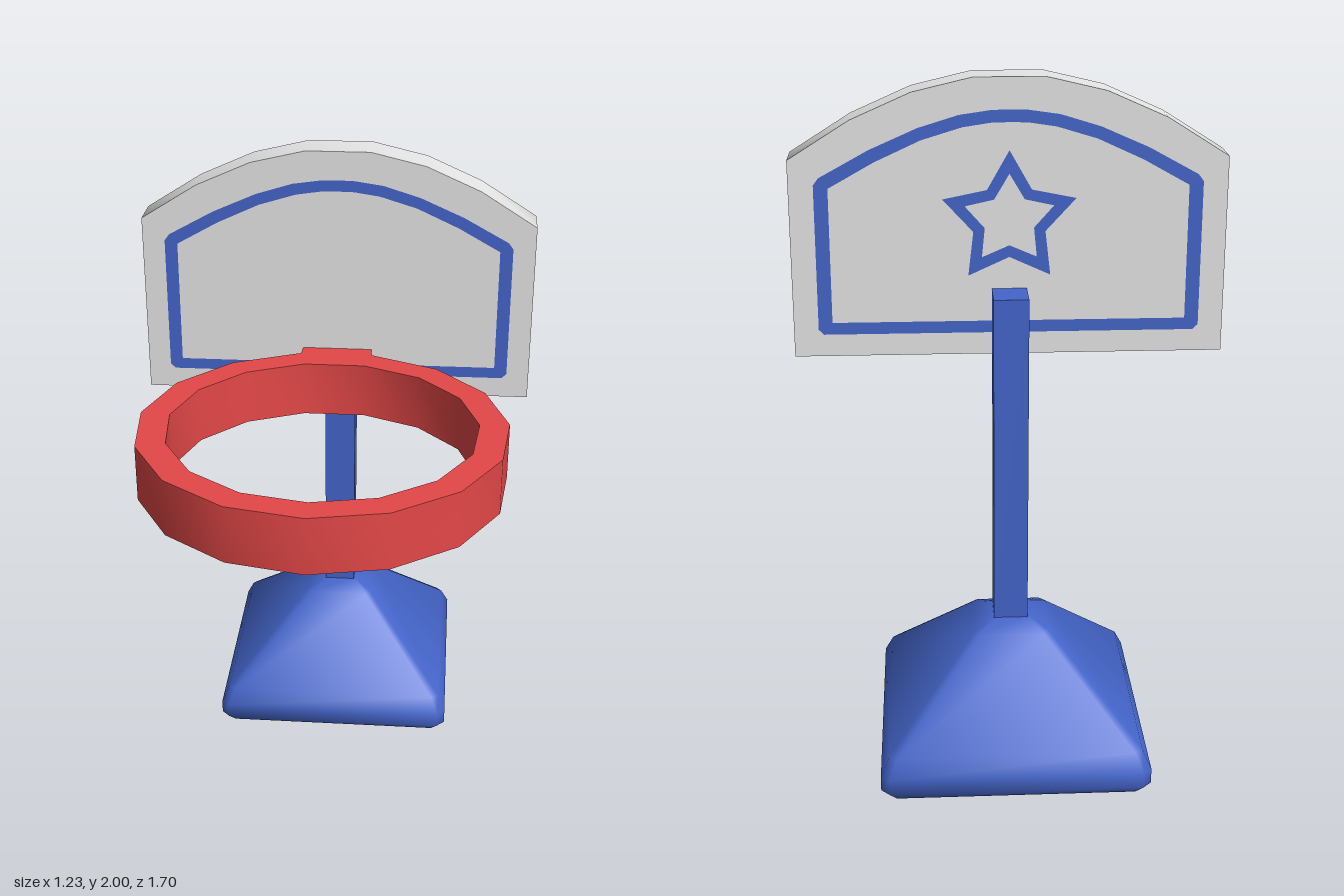
import * as THREE from 'three';
import { toCreasedNormals } from 'three/addons/utils/BufferGeometryUtils.js';

const blue = new THREE.MeshStandardMaterial({ color: 0x4465ca });
blue.name = 'blue plastic';
const red = new THREE.MeshStandardMaterial({ color: 0xe54848 });
red.name = 'red plastic';
const grey = new THREE.MeshStandardMaterial({ color: 0xe5e5e5 });
grey.name = 'light grey plastic';

const CREASE = THREE.MathUtils.degToRad(70);
const POLE_Z = -0.46;
const BOARD_FRONT = -0.275, BOARD_BACK = -0.395, PAINT = 0.002;

function mesh(name, geometry, material, x = 0, y = 0, z = 0) {
  const m = new THREE.Mesh(geometry, material);
  m.name = name;
  m.position.set(x, y, z);
  return m;
}

// Full outline from its right half, listed from bottom to top
const mirrored = (half) =>
  [...half, ...half.filter(([x]) => x > 0).reverse().map(([x, y]) => [-x, y])]
    .map(([x, y]) => new THREE.Vector2(x, y));

// Counter-clockwise polygon or star points; first point straight up
function ring(count, radiusAt) {
  return Array.from({ length: count }, (_, i) => {
    const a = (i / count) * Math.PI * 2;
    return new THREE.Vector2(-Math.sin(a) * radiusAt(i), Math.cos(a) * radiusAt(i));
  });
}

function outlineShape(outline, hole) {
  const shape = new THREE.Shape(outline);
  if (hole) shape.holes.push(new THREE.Path(hole));
  return shape;
}

// Rounded pyramid: stacked square sections with clipped corners and soft
// normals; each level is half width, height, corner clip, upward tilt
function pyramidGeometry(levels) {
  const position = [], normal = [], index = [];
  for (const [h, y, c, tilt] of levels) {
    const k = h - c, flat = Math.sqrt(1 - tilt * tilt), a = 0.91 * flat, b = 0.415 * flat;
    for (const [u, v] of [[1, 0], [0, -1], [-1, 0], [0, 1]])
      for (const s of [1, -1]) {
        // Side facing (u, v), its two ends at +k and -k along (-v, u)
        position.push(u * h - v * k * s, y, v * h + u * k * s);
        normal.push(u * a - v * b * s, tilt, v * a + u * b * s);
      }
  }
  for (let l = 0; l < levels.length - 1; l++)
    for (let i = 0; i < 8; i++) {
      const a = l * 8 + i, b = l * 8 + (i + 1) % 8;
      index.push(a, b, b + 8, a, b + 8, a + 8);
    }
  const top = (levels.length - 1) * 8;
  for (let i = 1; i < 7; i++) {
    index.push(0, i + 1, i);
    index.push(top, top + i, top + i + 1);
  }
  const g = new THREE.BufferGeometry();
  g.setAttribute('position', new THREE.Float32BufferAttribute(position, 3));
  g.setAttribute('normal', new THREE.Float32BufferAttribute(normal, 3));
  g.setIndex(index);
  return g;
}

// Fifteen-sided rim with a neck reaching back to the board, laid flat
function rimGeometry() {
  const outer = ring(15, () => 0.545);
  const neckEnd = -0.583;
  outer.splice(8, 0, new THREE.Vector2(-0.11, neckEnd), new THREE.Vector2(0.11, neckEnd));
  const shape = outlineShape(outer, ring(15, () => 0.457));
  const g = new THREE.ExtrudeGeometry(shape, { depth: 0.171, bevelEnabled: false });
  g.rotateX(Math.PI / 2);
  // Slope the underside of the neck upwards at the board
  const p = g.attributes.position;
  for (let i = 0; i < p.count; i++)
    if (p.getZ(i) < -0.57 && p.getY(i) < -0.1) p.setY(i, -0.141);
  return toCreasedNormals(g, CREASE);
}

export function createModel() {
  const model = new THREE.Group();
  model.name = 'toyBasketballHoop';

  // Weighted foot
  const foot = pyramidGeometry([
    [0.365, 0, 0.02, -0.85], [0.39, 0.03, 0.025, -0.3], [0.39, 0.075, 0.025, 0.25],
    [0.365, 0.128, 0.02, 0.6], [0.11, 0.386, 0.015, 0.78], [0.052, 0.408, 0.01, 0.96],
  ]);
  model.add(mesh('base', foot, blue, 0, 0, POLE_Z));

  // Square pole and the short block joining it to the board
  model.add(mesh('pole', new THREE.BoxGeometry(0.1, 1.02, 0.1), blue, 0, 0.89, POLE_Z));
  model.add(mesh('boardMount', new THREE.BoxGeometry(0.1, 0.15, 0.03), blue, 0, 1.325, -0.405));

  // Backboard with an arched top
  const boardShape = outlineShape(
    mirrored([[0.615, 1.205], [0.615, 1.775], [0.44, 1.885], [0.27, 1.96], [0.1, 2]]));
  const board = new THREE.ExtrudeGeometry(boardShape, { depth: BOARD_FRONT - BOARD_BACK, bevelEnabled: false });
  model.add(mesh('backboard', toCreasedNormals(board, CREASE), grey, 0, 0, BOARD_BACK));

  // Painted border on both faces
  const border = new THREE.ShapeGeometry(outlineShape(
    mirrored([
      [0.53, 1.27], [0.545, 1.285], [0.545, 1.705], [0.53, 1.725], [0.39, 1.802],
      [0.254, 1.862], [0.14, 1.897], [0.05, 1.91], [0, 1.911],
    ]),
    mirrored([
      [0.505, 1.305], [0.505, 1.695], [0.375, 1.768], [0.245, 1.828], [0.13, 1.863], [0.05, 1.875], [0, 1.876],
    ])));
  model.add(mesh('frontBorder', border, blue, 0, 0, BOARD_FRONT + PAINT));
  const backBorder = mesh('backBorder', border, blue, 0, 0, BOARD_BACK - PAINT);
  backBorder.rotation.y = Math.PI;
  model.add(backBorder);

  // Painted star outline on the back face
  const star = new THREE.ShapeGeometry(outlineShape(
    ring(10, (i) => (i % 2 ? 0.107 : 0.198)),
    ring(10, (i) => (i % 2 ? 0.073 : 0.132))));
  const backStar = mesh('backStar', star, blue, 0, 1.6, BOARD_BACK - PAINT);
  backStar.rotation.y = Math.PI;
  model.add(backStar);

  model.add(mesh('rim', rimGeometry(), red, 0, 1.355, 0.305));

  return model;
}
